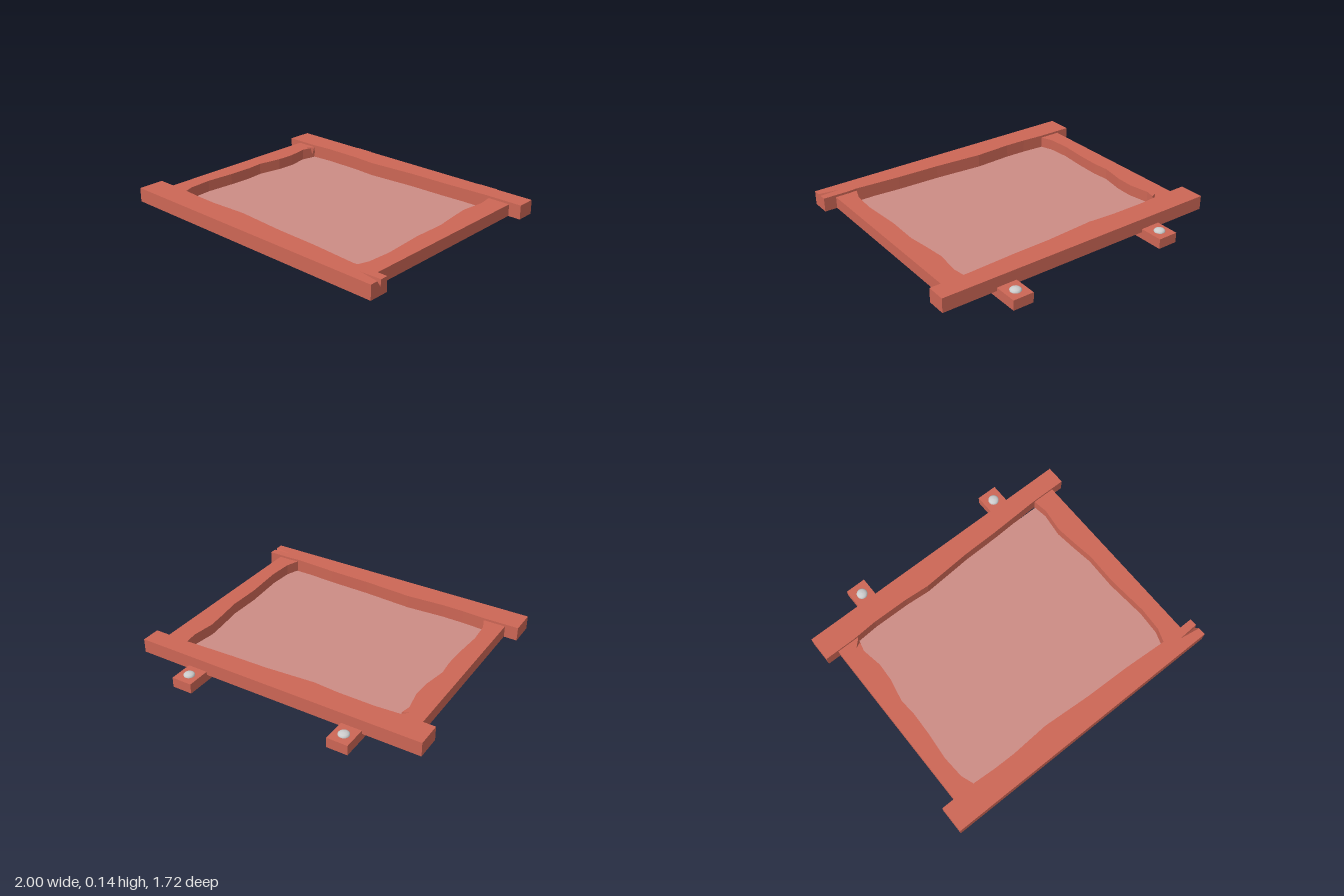
import * as THREE from 'three';

const wood = new THREE.MeshStandardMaterial({ color: 0xcc6655, flatShading: true });
const glass = new THREE.MeshStandardMaterial({ color: 0xcc8c84, side: THREE.DoubleSide });
const metal = new THREE.MeshStandardMaterial({ color: 0xcccccc });

const BASE = 0.045, RAIL_TOP = 0.14, STILE_TOP = 0.125;

// Wavy inner edges as [x, z]; rails run left to right, stiles back to front
const frontEdge = [[-1, 0.685], [-0.76, 0.685], [-0.6, 0.695], [-0.45, 0.697], [-0.19, 0.682],
  [0.15, 0.705], [0.45, 0.713], [0.76, 0.733], [0.82, 0.728], [1, 0.728]];
const backEdge = [[-1, -0.53], [-0.78, -0.53], [-0.61, -0.542], [-0.36, -0.54], [-0.19, -0.528],
  [0.15, -0.552], [0.4, -0.557], [0.75, -0.573], [1, -0.572]];
const stileEdgeNeg = [[-0.78, -0.43], [-0.755, -0.29], [-0.76, -0.17],
  [-0.79, -0.01], [-0.78, 0.1], [-0.785, 0.26], [-0.8, 0.45], [-0.79, 0.6], [-0.757, 0.69]];
const stileEdgePos = [[0.76, -0.575], [0.775, -0.47], [0.755, -0.31], [0.77, -0.17],
  [0.79, -0.02], [0.785, 0.2], [0.805, 0.48], [0.795, 0.64], [0.762, 0.735]];

// Splits in the wood: two mouth points with the tip between them
const railSplit = [[1, 0.808], [0.86, 0.785], [1, 0.778]];
const stileSplit = [[-0.757, -0.525], [-0.807, -0.475], [-0.765, -0.495]];

// Upright slab from a plan outline
function slabGeometry(outline, y0, y1) {
  const shape = new THREE.Shape(outline.map(([x, z]) => new THREE.Vector2(x, -z)));
  const geo = new THREE.ExtrudeGeometry(shape, { depth: y1 - y0, bevelEnabled: false });
  return geo.rotateX(-Math.PI / 2).translate(0, y0, 0);
}

function add(parent, name, geo, material) {
  const mesh = new THREE.Mesh(geo, material);
  mesh.name = name;
  parent.add(mesh);
  return mesh;
}

// Solid lower layer plus an upper layer whose split closes to a point at its foot
function splitBeam(name, plain, notched, split, foot, top) {
  const beam = new THREE.Group();
  beam.name = name;
  add(beam, name + 'Lower', slabGeometry(plain, BASE, foot[1]), wood);
  const geo = slabGeometry(notched, foot[1], top);
  const p = geo.attributes.position;
  for (let i = 0; i < p.count; i++) {
    const inSplit = split.some(([x, z]) => Math.hypot(p.getX(i) - x, p.getZ(i) - z) < 1e-4);
    if (inSplit && p.getY(i) < foot[1] + 1e-4) p.setXYZ(i, ...foot);
  }
  geo.computeVertexNormals();
  add(beam, name + 'Upper', geo, wood);
  return beam;
}

export function createModel() {
  const model = new THREE.Group();
  model.name = 'windowShutter';

  // Rails
  add(model, 'backRail', slabGeometry([...backEdge, [1, -0.7], [-1, -0.7]], BASE, RAIL_TOP), wood);
  const frontOuter = [[1, 0.86], [-1, 0.86]];
  model.add(splitBeam('frontRail', [...frontEdge, ...frontOuter],
    [...frontEdge, ...[...railSplit].reverse(), ...frontOuter],
    railSplit, [1, 0.095, 0.782], RAIL_TOP));

  // Stiles
  add(model, 'leftStile', slabGeometry([...stileEdgePos, [0.915, 0.735], [0.915, -0.575]], BASE, STILE_TOP), wood);
  const rightOuter = [[-0.91, 0.69], [-0.91, -0.535], [-0.757, -0.535]];
  model.add(splitBeam('rightStile', [...stileEdgeNeg, ...rightOuter],
    [...stileSplit, ...stileEdgeNeg, ...rightOuter],
    stileSplit, [-0.761, 0.07, -0.51], STILE_TOP));

  // Pane, just above the underside of the frame
  const pane = new THREE.PlaneGeometry(1.64, 1.29).rotateX(-Math.PI / 2);
  add(model, 'pane', pane, glass).position.set(0, BASE + 0.005, 0.08);

  // Hinge blocks with domed bolts
  const dome = [[0.036, 0], [0.036, 0.008], [0.029, 0.015], [0.017, 0.02], [0, 0.022]]
    .map(([r, y]) => new THREE.Vector2(r, y));
  for (const [side, x] of [['right', -0.55], ['left', 0.568]]) {
    const hinge = new THREE.Group();
    hinge.name = side + 'Hinge';
    add(hinge, 'hingeBlock', new THREE.BoxGeometry(0.14, 0.068, 0.26), wood).position.set(0, 0.034, -0.73);
    add(hinge, 'bolt', new THREE.LatheGeometry(dome, 16), metal).position.set(0, 0.067, -0.783);
    hinge.position.x = x;
    model.add(hinge);
  }
  return model;
}
